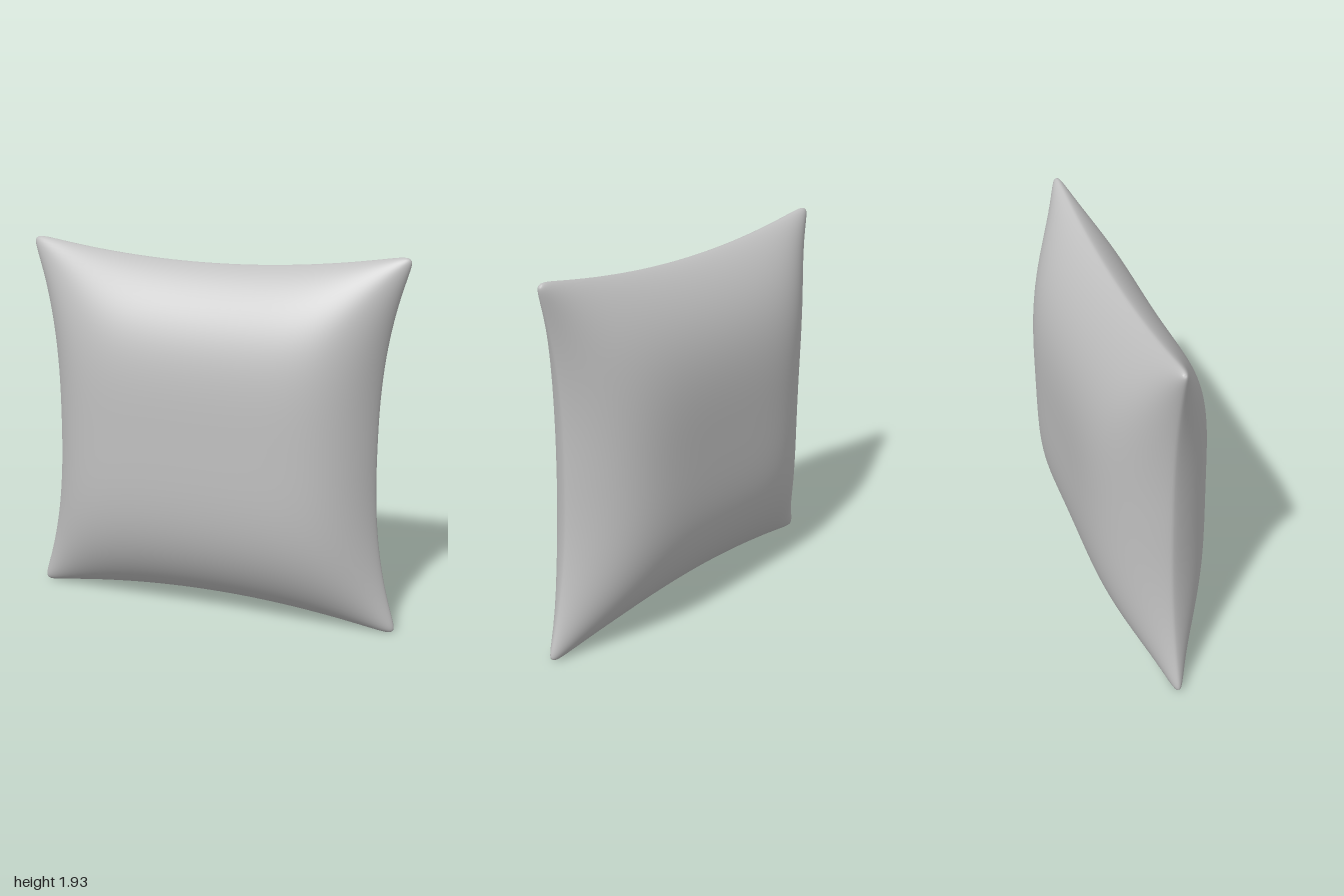
import * as THREE from 'three';
import { mergeGeometries, mergeVertices } from 'three/addons/utils/BufferGeometryUtils.js';

const SEGMENTS = 56;
const CENTRE_Y = 0.965;

// One puffed side of the pillow; side is +1 for the front and -1 for the back
function puffedSide(side) {
  const geometry = new THREE.PlaneGeometry(2, 2, SEGMENTS, SEGMENTS);
  if (side < 0) geometry.rotateY(Math.PI);
  geometry.deleteAttribute('uv');
  geometry.deleteAttribute('normal');
  const p = geometry.attributes.position;
  for (let i = 0; i < p.count; i++) {
    // crowd the grid towards the seam
    const u = Math.sin(p.getX(i) * Math.PI / 2);
    const v = Math.sin(p.getY(i) * Math.PI / 2);
    const a = Math.min(1, Math.abs(u));
    const b = Math.min(1, Math.abs(v));
    // concave outline with slightly rounded corners
    const corner = 0.03 * (a * b) ** 30;
    const x = u * (0.87 + 0.15 * b ** 2.5 - corner);
    const y = v * (0.8825 + 0.1 * a ** 2 - corner);
    // soft filling plus a rounded rim along the seam
    const filling = 0.275 * (1 - a ** 5) * (1 - b ** 3.6);
    const rim = 0.035 * Math.sqrt((1 - a ** 24) * (1 - b ** 24));
    p.setXYZ(i, x, CENTRE_Y + y, side * (filling + rim) - 0.015 * v);
  }
  return geometry;
}

export function createModel() {
  const fabric = new THREE.MeshStandardMaterial({ color: 0xbfbfbf });
  fabric.name = 'grey fabric';

  // weld both sides at the seam so the shading stays smooth
  const geometry = mergeVertices(mergeGeometries([puffedSide(1), puffedSide(-1)]), 1e-5);
  geometry.computeVertexNormals();

  const pillow = new THREE.Mesh(geometry, fabric);
  pillow.name = 'pillow';
  const group = new THREE.Group();
  group.name = 'throwPillow';
  group.add(pillow);
  return group;
}
